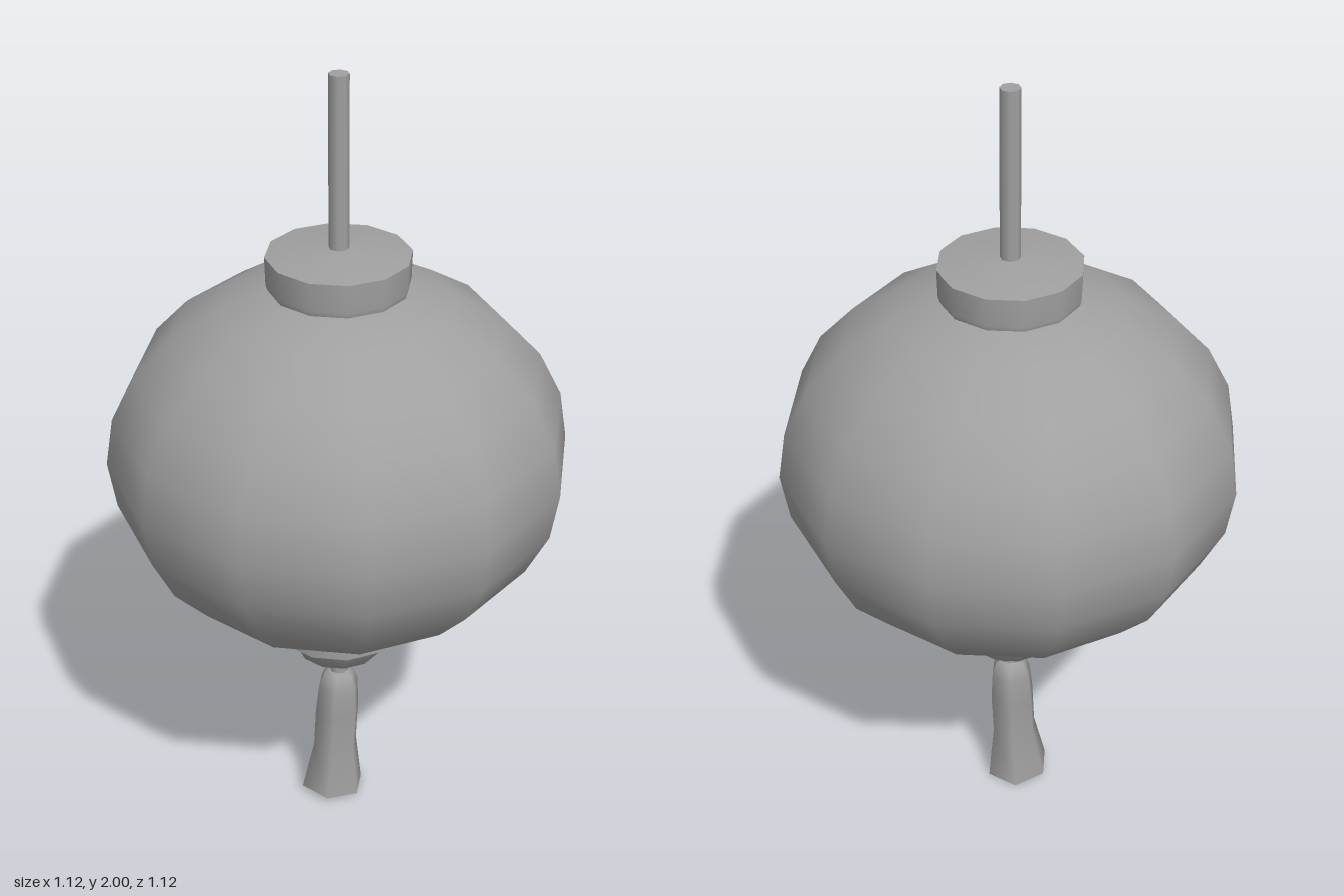
import * as THREE from 'three';
import { mergeGeometries } from 'three/addons/utils/BufferGeometryUtils.js';

// Lathe made of separate [radius, y] sections, so edges between sections stay sharp
function turned(sections, sides, phiStart = 0) {
  return mergeGeometries(sections.map((section) => new THREE.LatheGeometry(
    section.map(([r, y]) => new THREE.Vector2(r, y)), sides, phiStart)));
}

export function createModel() {
  const group = new THREE.Group();
  const grey = new THREE.MeshStandardMaterial({ color: 0xa0a0a0 });
  grey.name = 'plain grey';
  const add = (name, geometry) => {
    const mesh = new THREE.Mesh(geometry, grey);
    mesh.name = name;
    group.add(mesh);
    return mesh;
  };

  // Squashed round lantern body
  const body = new THREE.SphereGeometry(0.56, 12, 12);
  body.scale(1, 0.46 / 0.56, 1);
  body.translate(0, 1.05, 0);
  add('lanternBody', body);

  // Collars above and below the body
  add('topCollar', turned([
    [[0, 1.485], [0.165, 1.485]],
    [[0.165, 1.485], [0.17, 1.5], [0.172, 1.57]],
    [[0.172, 1.57], [0.06, 1.585], [0, 1.587]],
  ], 12));
  add('bottomCollar', turned([
    [[0, 0.527], [0.145, 0.527], [0.17, 0.54]],
    [[0.17, 0.54], [0.17, 0.61]],
    [[0.17, 0.61], [0, 0.615]],
  ], 12));

  // Rounded finial under the bottom collar
  add('finial', turned([
    [[0, 0.422], [0.03, 0.43], [0.108, 0.468], [0.138, 0.53]],
  ], 12));

  // Hanging rod and the short cord that holds the tassel
  const rod = (name, bottom, top) => {
    const geometry = new THREE.CylinderGeometry(0.024, 0.024, top - bottom, 8);
    geometry.translate(0, (top + bottom) / 2, 0);
    add(name, geometry);
  };
  rod('hangingRod', 1.57, 2);
  rod('tasselCord', 0.36, 0.45);

  // Six-sided tassel, swaying forward with a slanted hem
  const tassel = turned([
    [[0, 0.013], [0.084, 0.013]],
    [[0.084, 0.013], [0.06, 0.15], [0.06, 0.27], [0.054, 0.345], [0.042, 0.378], [0.022, 0.392], [0, 0.393]],
  ], 6, Math.PI / 4);
  const p = tassel.attributes.position;
  for (let i = 0; i < p.count; i++) {
    const y = p.getY(i);
    const sway = Math.max(0, (0.4 - y) / 0.387);
    const slant = y < 0.1 ? 0.1 * p.getZ(i) : 0;
    p.setXYZ(i, p.getX(i) - 0.012 * sway * sway, y + slant, p.getZ(i) + 0.014 * sway);
  }
  add('tassel', tassel);

  return group;
}
